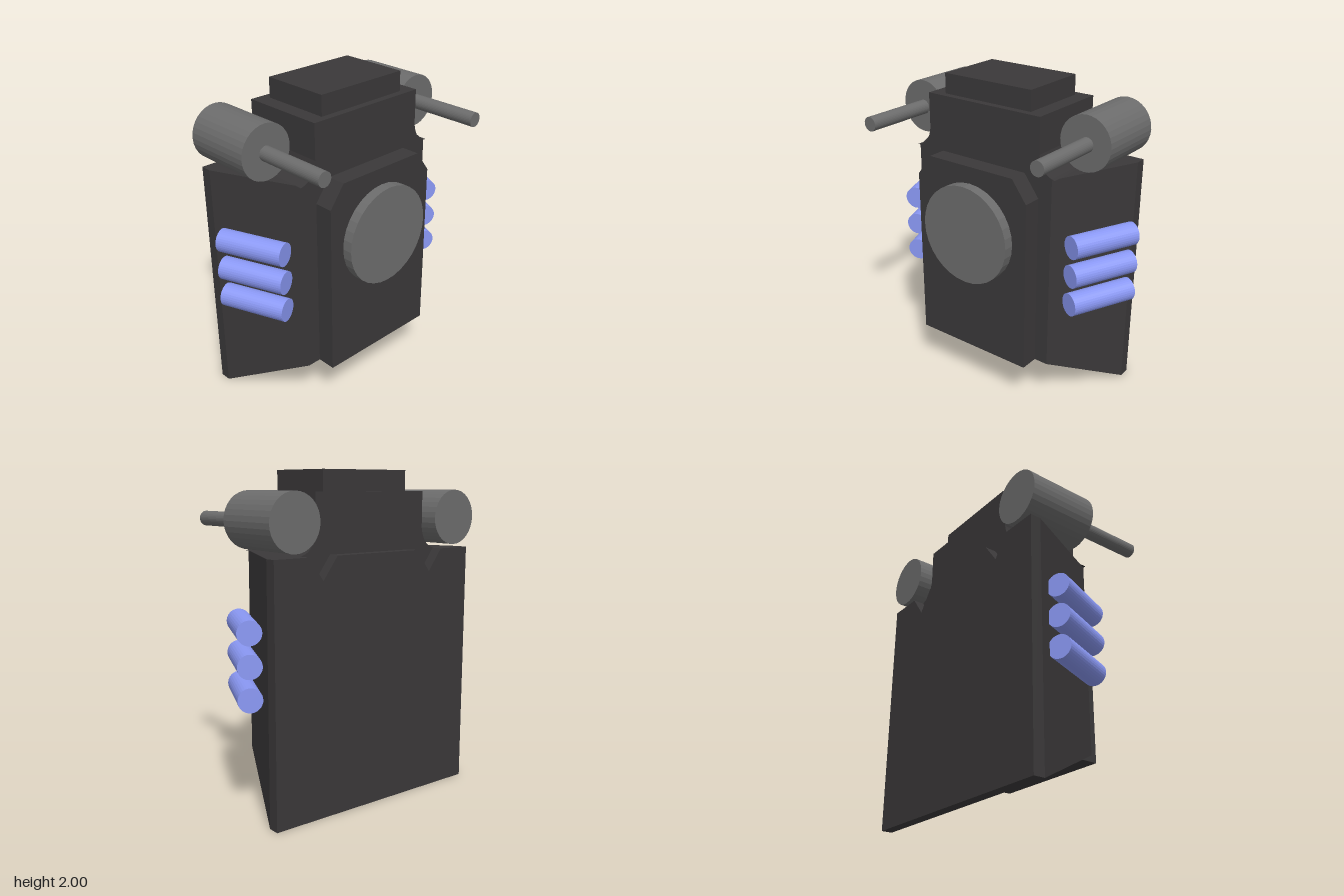
import * as THREE from 'three';

const material = (color) => new THREE.MeshStandardMaterial({ color, flatShading: true });

export function createModel() {
  const model = new THREE.Group();
  const dark = material(0x3a3839), grey = material(0x6c6c6c), blue = material(0x8a98f4);

  const add = (name, geometry, mat, x = 0, y = 0, z = 0) => {
    const mesh = new THREE.Mesh(geometry, mat);
    mesh.name = name;
    mesh.position.set(x, y, z);
    model.add(mesh);
    return mesh;
  };
  // box given by its minimum and maximum corners
  const box = (name, mat, a, b) => add(name,
    new THREE.BoxGeometry(b[0] - a[0], b[1] - a[1], b[2] - a[2]), mat,
    (a[0] + b[0]) / 2, (a[1] + b[1]) / 2, (a[2] + b[2]) / 2);
  const shapeOf = (points) => new THREE.Shape(points.map((p) => new THREE.Vector2(...p)));
  const extrude = (shape, depth) =>
    new THREE.ExtrudeGeometry(shape, { depth, bevelEnabled: false, curveSegments: 8 });
  // cylinder between two points
  const rod = (name, mat, r, from, to) => {
    const a = new THREE.Vector3(...from), b = new THREE.Vector3(...to);
    const mesh = add(name, new THREE.CylinderGeometry(r, r, a.distanceTo(b), 32), mat);
    mesh.position.copy(a).lerp(b, 0.5);
    mesh.quaternion.setFromUnitVectors(new THREE.Vector3(0, 1, 0), b.sub(a).normalize());
    return mesh;
  };

  const cx = -0.015, inner = 0.41, top = 1.525, back = -0.39, front = 0.16;

  // central body, cap and the block inside the underside recess
  box('centralBody', dark, [cx - inner, 0.29, back], [cx + inner, 1.875, front]);
  box('topCap', dark, [-0.33, 1.875, -0.335], [0.3, 2, 0.115]);
  box('recessBlock', dark, [cx - inner, 0.08, back], [cx + inner, 0.29, -0.24]);

  // front plate with chamfered top corners
  const plate = shapeOf([[-inner, 0.29], [inner, 0.29], [inner, 1.39], [inner - 0.1, top],
    [0.1 - inner, top], [-inner, 1.39]]);
  add('frontPlate', extrude(plate, 0.12), dark, cx, 0, front);
  rod('frontDisc', grey, 0.315, [cx, 1.105, 0.28], [cx, 1.105, 0.345]);

  // back slab with a V notch at each shoulder
  const slab = shapeOf([[-0.74, 0], [0.74, 0], [0.74, top], [0.51, top], [inner, 1.39],
    [0.31, top], [-0.31, top], [-inner, 1.39], [-0.51, top], [-0.74, top]]);
  add('backSlab', extrude(slab, 0.07), dark, cx, 0, -0.46);

  for (const s of [1, -1]) {
    const side = s > 0 ? 'left' : 'right';

    // tapered side wing whose underside slopes up to the front
    const wing = extrude(shapeOf([[s * inner, -front], [s * 0.5, -front],
      [s * 0.74, -back], [s * inner, -back]]), top).rotateX(-Math.PI / 2);
    const p = wing.attributes.position;
    for (let i = 0; i < p.count; i++) {
      if (p.getY(i) < 0.01) p.setY(i, 0.29 * (p.getZ(i) - back) / (front - back));
    }
    wing.computeVertexNormals();
    add(side + 'Wing', wing, dark, cx);

    // concave fillet between neck and wing
    const r = 0.11, fillet = new THREE.Shape();
    fillet.moveTo(s * inner, top);
    fillet.lineTo(s * (inner + r), top);
    fillet.quadraticCurveTo(s * (inner + 0.015), top + 0.015, s * inner, top + r + 0.02);
    add(side + 'Fillet', extrude(fillet, front - back), dark, cx, 0, back);

    // shoulder cannon
    const x = s > 0 ? 0.587 : -0.63, bx = s > 0 ? 0.595 : -0.633;
    rod(side + 'CannonBody', grey, 0.168, [x, 1.715, -0.465], [x, 1.715, -0.01]);
    rod(side + 'CannonBarrel', grey, 0.045, [bx, 1.71, -0.02], [bx, 1.71, 0.465]);

    // three slanted side tubes
    for (const y of [0.735, 0.925, 1.115]) {
      rod(side + 'Tube', blue, 0.072, [s > 0 ? 0.597 : -0.625, y, 0.107], [s * 0.776, y, -0.29]);
    }
  }

  // sloped panel and lip in the underside recess
  const bar = shapeOf([[0.24, 0.1], [0.19, 0.1], [0.19, 0.17], [0.24, 0.17]]);
  const ramp = shapeOf([[0.24, 0.17], [0.19, 0.17], [-0.02, 0.29], [0.24, 0.29]]);
  add('recessLip', extrude(bar, 0.63).rotateY(Math.PI / 2), grey, -0.33);
  add('recessPanel', extrude(ramp, 0.63).rotateY(Math.PI / 2), blue, -0.33);

  return model;
}
